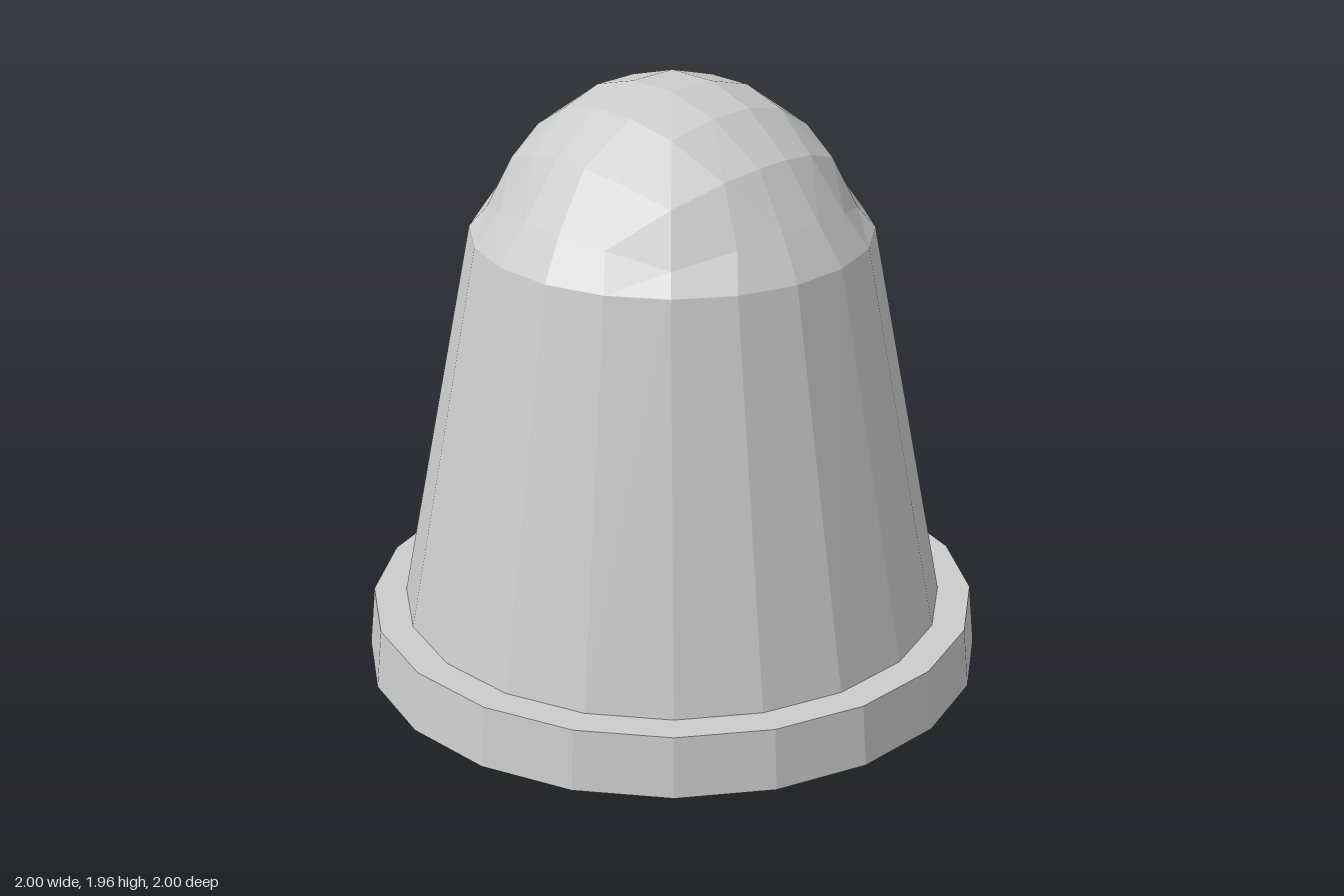
import * as THREE from 'three';

const SIDES = 20;
const STEPS = [-1, -0.46, -0.14, 0.14, 0.46, 1]; // grid lines of the rounded-cube dome
const DOME_Y = 1.355;
const DOME_RADIUS = 0.615;

// Flat 20-sided ring of points, turned by some degrees
function circleRing(radius, y, turn = 0) {
  return Array.from({ length: SIDES }, (_, i) => {
    const a = (i * 18 - 45 - turn) * Math.PI / 180;
    return new THREE.Vector3(radius * Math.cos(a), y, radius * Math.sin(a));
  });
}

// Point of the dome in a given direction
function domePoint(x, y, z) {
  const p = new THREE.Vector3(x, y, z).setLength(DOME_RADIUS);
  p.y += DOME_Y;
  return p;
}

// Loop of dome points around the four sides of the rounded cube
function domeRing(v) {
  return Array.from({ length: SIDES }, (_, i) => {
    let x = 1, z = STEPS[i % 5];
    for (let s = Math.floor(i / 5); s > 0; s--) [x, z] = [-z, x];
    return domePoint(x, v, z);
  });
}

// Four-sided face, split along its shorter diagonal
function quad(out, a, b, c, d) {
  const corners = a.distanceTo(c) <= b.distanceTo(d) ? [a, b, c, a, c, d] : [b, c, d, b, d, a];
  for (const p of corners) out.push(p.x, p.y, p.z);
}

// Joins each ring of points to the next
function loft(out, rings) {
  for (let r = 0; r < rings.length - 1; r++) {
    const A = rings[r], B = rings[r + 1];
    for (let i = 0; i < SIDES; i++) {
      const n = (i + 1) % SIDES;
      quad(out, A[i], B[i], B[n], A[n]);
    }
  }
}

// 5 x 5 grid of faces closing the top of the dome
function domeCap(out) {
  const p = (i, j) => domePoint(STEPS[i], 1, STEPS[j]);
  for (let i = 0; i < 5; i++) {
    for (let j = 0; j < 5; j++) {
      quad(out, p(i, j), p(i, j + 1), p(i + 1, j + 1), p(i + 1, j));
    }
  }
}

function makeMesh(name, positions, material) {
  const geometry = new THREE.BufferGeometry();
  geometry.setAttribute('position', new THREE.Float32BufferAttribute(positions, 3));
  geometry.computeVertexNormals();
  const mesh = new THREE.Mesh(geometry, material);
  mesh.name = name;
  return mesh;
}

export function createModel() {
  const group = new THREE.Group();
  group.name = 'thimble';
  const material = new THREE.MeshStandardMaterial({
    color: 0xcccccc, flatShading: true, side: THREE.DoubleSide,
  });
  const turn = 0.7;
  const bodyBase = circleRing(0.886, 0.2, turn);

  // Thin tapered body with domed top, open below
  const body = [];
  loft(body, [bodyBase, circleRing(0.643, 1.48), domeRing(0.46), domeRing(1)]);
  domeCap(body);
  group.add(makeMesh('body', body, material));

  // Rim: bottom lip, outer wall and top ledge, hollow towards the inside
  const rim = [];
  loft(rim, [
    circleRing(0.893, 0, turn), circleRing(1.012, 0, turn),
    circleRing(0.993, 0.2, turn), bodyBase,
  ]);
  group.add(makeMesh('rim', rim, material));

  return group;
}
